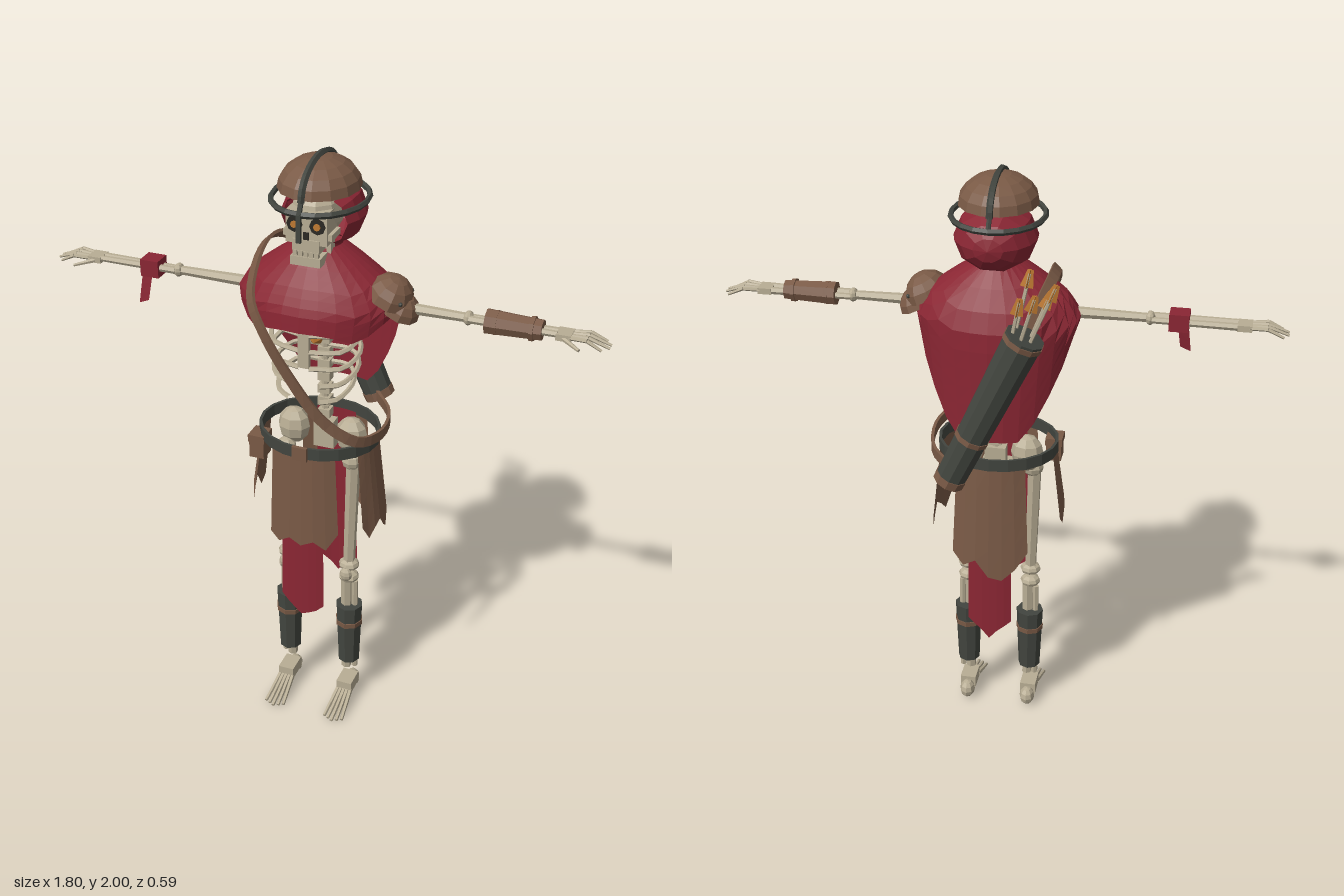
import * as THREE from 'three';

const V = (x, y, z) => new THREE.Vector3(x, y, z);
const mat = (name, color, side = THREE.FrontSide) => new THREE.MeshStandardMaterial({ name, color, side });
const lerp = THREE.MathUtils.lerp;

// linear sampling of a short list
const sample = (list, t) => {
  const f = Math.min(Math.max(t, 0), 1) * (list.length - 1), i = Math.min(Math.floor(f), list.length - 2);
  return lerp(list[i], list[i + 1], f - i);
};
// piecewise lookup in [key, value] pairs with rising keys
const lookup = (pairs, k) => {
  for (let i = 1; i < pairs.length; i++)
    if (k <= pairs[i][0]) {
      const [a, b] = [pairs[i - 1], pairs[i]];
      return lerp(a[1], b[1], Math.max(0, (k - a[0]) / (b[0] - a[0])));
    }
  return pairs[pairs.length - 1][1];
};
// grid whose points follow fn(u, v)
function sheet(cols, rows, fn) {
  const g = new THREE.PlaneGeometry(1, 1, cols, rows), p = g.attributes.position;
  for (let i = 0; i < p.count; i++) p.setXYZ(i, ...fn(p.getX(i) + 0.5, 0.5 - p.getY(i)));
  return g;
}
const box = (w, h, d) => new THREE.BoxGeometry(w, h, d);
const ball = (rx, ry, rz, seg = 8) => new THREE.SphereGeometry(1, seg, Math.max(5, seg - 2)).scale(rx, ry, rz);
const tube = (pts, r, n = 10, sides = 5) => new THREE.TubeGeometry(new THREE.CatmullRomCurve3(pts), n, r, sides);
// tapered rod from a to b
function rod(a, b, r0, r1 = r0, sides = 6) {
  const d = b.clone().sub(a), g = new THREE.CylinderGeometry(r1, r0, d.length(), sides);
  g.applyQuaternion(new THREE.Quaternion().setFromUnitVectors(V(0, 1, 0), d.normalize()));
  const m = a.clone().add(b).multiplyScalar(0.5);
  return g.translate(m.x, m.y, m.z);
}

export function createModel() {
  const model = new THREE.Group();
  model.name = 'skeletonArcher';
  const bone = mat('bone', 0xb8ad94), red = mat('redCloth', 0x8a2633, THREE.DoubleSide);
  const brown = mat('brownLeather', 0x7a5a46, THREE.DoubleSide), dark = mat('darkLeather', 0x42453f, THREE.DoubleSide);
  const orange = mat('orange', 0xc07a32), black = mat('socketDark', 0x2b2824);

  function add(name, geo, material, x = 0, y = 0, z = 0, parent = model) {
    const g = geo.index ? geo.toNonIndexed() : geo;
    g.computeVertexNormals();
    const m = new THREE.Mesh(g, material);
    m.name = name;
    m.position.set(x, y, z);
    parent.add(m);
    return m;
  }

  // skull
  add('cranium', ball(0.08, 0.085, 0.1, 10), bone, 0, 1.83, 0.07);
  add('face', box(0.13, 0.1, 0.08), bone, 0, 1.8, 0.135);
  add('upperJaw', box(0.085, 0.04, 0.06), bone, 0, 1.745, 0.15);
  add('lowerJaw', box(0.095, 0.028, 0.1), bone, 0, 1.698, 0.135);
  for (let i = -2; i <= 2; i++) add('tooth', box(0.013, 0.024, 0.012), bone, i * 0.017, 1.718, 0.176);
  add('noseHole', box(0.018, 0.026, 0.006), black, 0, 1.775, 0.176);
  for (const s of [-1, 1]) {
    const disc = r => new THREE.CylinderGeometry(r, r, 0.006, 8).rotateX(Math.PI / 2);
    add('eyeSocket', disc(0.025), black, s * 0.036, 1.81, 0.176);
    add('eyeGlow', disc(0.011), orange, s * 0.036, 1.81, 0.181);
    add('cheekbone', box(0.03, 0.02, 0.07), bone, s * 0.062, 1.775, 0.13);
    add('jawSide', box(0.014, 0.065, 0.035), bone, s * 0.05, 1.73, 0.105);
  }

  // hood
  add('hood', new THREE.SphereGeometry(1, 10, 6, 0, Math.PI * 2, 0, Math.PI * 0.7)
    .rotateX(-Math.PI / 2).scale(0.13, 0.104, 0.145), red, 0, 1.803, 0.025);

  // helmet
  add('helmetDome', new THREE.SphereGeometry(1, 14, 5, 0, Math.PI * 2, 0, Math.PI / 2)
    .scale(0.125, 0.092, 0.142), brown, 0, 1.895, 0.065);
  const crest = Array.from({ length: 13 }, (_, i) => {
    const a = Math.PI * i / 12;
    return V(0, 1.892 + Math.sin(a) * 0.097, 0.065 + Math.cos(a) * 0.148);
  });
  add('helmetCrest', tube(crest, 0.011, 20), dark);
  add('helmetRing', new THREE.TorusGeometry(1, 0.06, 5, 20).rotateX(Math.PI / 2).scale(0.145, 0.17, 0.165), dark, 0, 1.86, 0.06);
  add('frontStrut', rod(V(0, 1.9, 0.21), V(0, 1.86, 0.23), 0.008), dark);
  add('backStrut', rod(V(0, 1.9, -0.082), V(0, 1.86, -0.105), 0.008), dark);
  add('noseGuard', box(0.014, 0.085, 0.01), dark, 0, 1.82, 0.233);

  // mantle with a long back panel
  const hem = [[0, 1.49], [20, 1.49], [42, 1.46], [72, 1.53], [98, 1.53], [110, 1.44], [150, 1.17], [180, 1.17]];
  const wide = [[1.17, 0.22], [1.48, 0.25], [1.55, 0.262], [1.61, 0.225], [1.67, 0.145], [1.72, 0.07]];
  const deep = [[1.17, 0.19], [1.48, 0.185], [1.55, 0.18], [1.61, 0.15], [1.67, 0.11], [1.72, 0.07]];
  add('mantle', sheet(28, 9, (u, v) => {
    const a = (u * 2 - 1) * Math.PI, y = lerp(1.72, lookup(hem, Math.abs(a) * 180 / Math.PI), v);
    return [Math.sin(a) * lookup(wide, y), y, 0.06 + Math.cos(a) * lookup(deep, y)];
  }), red);

  // spine, ribs and glowing core
  add('spineCore', rod(V(0, 1.02, 0.02), V(0, 1.72, 0.03), 0.012), bone);
  for (let i = 0; i < 15; i++) add('vertebra', box(0.04, 0.03, 0.038), bone, 0, 1.06 + i * 0.045, 0.02);
  add('sternum', box(0.036, 0.17, 0.016), bone, 0, 1.44, 0.2);
  for (const s of [-1, 1]) {
    for (let i = 0; i < 6; i++) {
      const y = 1.57 - i * 0.056, w = [0.115, 0.135, 0.142, 0.142, 0.135, 0.12][i];
      const end = i < 4 ? 0.015 : 0.05;
      add('rib', tube([V(0, y, 0.015), V(s * w * 0.7, y - 0.002, 0.02), V(s * w, y - 0.02, 0.09),
        V(s * w * 0.8, y - 0.045, 0.17), V(s * end, y - 0.05, 0.2)], 0.0085, 12), bone);
    }
    add('collarbone', rod(V(s * 0.02, 1.58, 0.17), V(s * 0.2, 1.59, 0.08), 0.012), bone);
    add('shoulderBlade', box(0.09, 0.11, 0.014), bone, s * 0.11, 1.53, -0.02);
  }
  add('glowingCore', new THREE.IcosahedronGeometry(0.028), orange, 0, 1.415, 0.1);

  // pelvis
  add('sacrum', box(0.07, 0.1, 0.04), bone, 0, 1.03, 0.02);
  add('pubicBone', box(0.12, 0.03, 0.03), bone, 0, 0.97, 0.11);
  for (const s of [-1, 1]) {
    add('hipWing', ball(0.055, 0.065, 0.045), bone, s * 0.1, 1.05, 0.045);
    add('hipJoint', ball(0.035, 0.035, 0.035), bone, s * 0.115, 0.98, 0.08);
  }

  // legs and feet
  for (const s of [-1, 1]) {
    const leg = new THREE.Group();
    leg.name = s > 0 ? 'leftLeg' : 'rightLeg';
    leg.position.set(s * 0.11, 0, 0.08);
    model.add(leg);
    const part = (n, g, m, x = 0, y = 0, z = 0) => add(n, g, m, x * s, y, z, leg);
    part('thighBone', rod(V(0, 0.57, 0.005), V(s * 0.01, 0.97, 0), 0.02, 0.024), bone);
    part('thighKnuckle', ball(0.036, 0.022, 0.034), bone, 0, 0.57, 0.005);
    part('kneecap', ball(0.022, 0.026, 0.016), bone, 0, 0.545, 0.035);
    part('shinKnuckle', ball(0.035, 0.022, 0.034), bone, 0, 0.52, 0.005);
    part('shinBone', rod(V(s * -0.008, 0.125, 0), V(s * -0.008, 0.52, 0.005), 0.017, 0.02), bone);
    part('calfBone', rod(V(s * 0.02, 0.13, -0.005), V(s * 0.02, 0.5, 0), 0.011), bone);
    part('greave', new THREE.CylinderGeometry(0.047, 0.038, 0.235, 8), dark, 0, 0.283, 0);
    part('greaveStrap', new THREE.CylinderGeometry(0.048, 0.047, 0.018, 8), brown, 0, 0.33, 0);
    part('ankle', box(0.055, 0.042, 0.075), bone, 0, 0.063, 0.012);
    part('heel', ball(0.027, 0.034, 0.034), bone, 0, 0.042, -0.035);
    for (let i = -2; i <= 2; i++)
      part('toe', rod(V(i * 0.011, 0.052, 0.04), V(i * 0.016, 0.01, 0.172 - Math.abs(i) * 0.008), 0.0085, 0.006, 5), bone);
  }

  // arms and hands
  for (const s of [-1, 1]) {
    const arm = new THREE.Group();
    arm.name = s > 0 ? 'leftArm' : 'rightArm';
    arm.position.set(0, 1.55, 0.075);
    model.add(arm);
    const link = (n, a, b, r0, r1) => add(n, rod(V(a[0] * s, a[1], a[2]), V(b[0] * s, b[1], b[2]), r0, r1), bone, 0, 0, 0, arm);
    add('shoulderJoint', ball(0.03, 0.03, 0.03), bone, s * 0.21, 0, 0, arm);
    link('upperArmBone', [0.21, 0, 0], [0.48, 0, 0], 0.019, 0.014);
    add('elbow', ball(0.016, 0.022, 0.025), bone, s * 0.475, 0, 0, arm);
    link('forearmBone', [0.48, 0.002, 0.013], [0.745, 0.002, 0.014], 0.012, 0.01);
    link('forearmBone', [0.48, -0.002, -0.013], [0.745, -0.002, -0.014], 0.01, 0.012);
    add('palm', box(0.045, 0.02, 0.055), bone, s * 0.765, -0.002, 0, arm);
    for (let i = 0; i < 4; i++) {
      const z = (i - 1.5) * 0.021, z0 = (i - 1.5) * 0.014, tip = [0.885, 0.9, 0.9, 0.88][i];
      link('fingerBase', [0.78, 0, z0], [0.835, 0.004, z], 0.007, 0.006);
      link('fingerTip', [0.835, 0.004, z], [tip, -0.018, z * 1.1], 0.006, 0.004);
    }
    link('thumb', [0.765, -0.005, 0.022], [0.82, -0.014, 0.064], 0.008, 0.005);
  }
  add('armWrap', box(0.062, 0.056, 0.062), red, -0.565, 1.55, 0.075);
  add('wrapTail', sheet(1, 3, (u, v) => [-0.575 - v * 0.012 + (u - 0.5) * 0.034, 1.53 - v * (0.1 - u * 0.014), 0.1 + v * 0.012]), red);
  add('bracer', new THREE.CylinderGeometry(0.032, 0.039, 0.17, 8).rotateZ(-Math.PI / 2), brown, 0.615, 1.55, 0.075);
  for (const x of [0.56, 0.67]) add('bracerStrap', new THREE.CylinderGeometry(0.039, 0.039, 0.012, 8).rotateZ(Math.PI / 2), brown, x, 1.55, 0.075);

  // shoulder guard
  const guard = new THREE.Group();
  guard.name = 'shoulderGuard';
  guard.position.set(0.235, 1.57, 0.075);
  guard.rotation.z = -0.45;
  model.add(guard);
  const cap = (rx, ry, rz) => new THREE.SphereGeometry(1, 10, 4, 0, Math.PI * 2, 0, Math.PI / 2).scale(rx, ry, rz);
  add('upperPlate', cap(0.075, 0.075, 0.085), brown, -0.01, 0, 0, guard);
  add('lowerPlate', cap(0.065, 0.06, 0.07), brown, 0.035, -0.02, 0, guard);
  for (const z of [-0.055, 0, 0.055]) add('rivet', ball(0.007, 0.007, 0.007, 6), dark, 0.035, 0.045 - Math.abs(z) * 0.25, z, guard);

  // belt, buckle and pouch
  const hip = (a, k) => [Math.sin(a) * 0.19 * k, 0.07 + Math.cos(a) * 0.165 * k];
  add('belt', sheet(20, 4, (u, v) => {
    const [x, z] = hip(-u * Math.PI * 2, [1, 1.05, 1.05, 1, 1][Math.round(v * 4)]);
    return [x, [1.05, 1.05, 1.09, 1.09, 1.05][Math.round(v * 4)], z];
  }), dark);
  add('buckle', box(0.05, 0.048, 0.012), brown, 0, 1.07, 0.245);
  add('pouch', box(0.05, 0.075, 0.06), brown, -0.175, 1.02, 0.155);
  add('pouchFlap', box(0.056, 0.025, 0.066), brown, -0.175, 1.052, 0.155);

  // hanging cloth panels around the hips
  const panel = (name, m, mid, half, hemline, k, flare, narrow = 1) => add(name, sheet(6, 4, (u, v) => {
    const [x, z] = hip(mid + (u * 2 - 1) * half * lerp(1, narrow, v), k + flare * v);
    return [x, lerp(1.06, sample(hemline, u), v), z];
  }), m);
  panel('frontSkirt', brown, 0, 0.58, [0.73, 0.71, 0.74, 0.72, 0.74, 0.71, 0.77], 1.02, 0.04, 1.08);
  panel('frontTabard', red, 0, 0.38, [0.5, 0.48, 0.46, 0.44, 0.45, 0.46, 0.48], 0.99, 0.05);
  panel('backSkirt', brown, Math.PI, 0.62, [0.72, 0.68, 0.71, 0.65, 0.64, 0.68, 0.74], 1.02, 0.13);
  panel('backTabard', red, Math.PI, 0.38, [0.46, 0.44, 0.42, 0.39, 0.42, 0.44, 0.46], 0.98, 0.07);
  panel('leftSkirt', brown, 1.42, 0.42, [0.79, 0.74, 0.77, 0.79, 0.75, 0.73, 0.78], 1.02, 0.16);
  panel('rightSkirt', brown, -1.42, 0.4, [0.82, 0.79, 0.84, 0.81, 0.85, 0.8, 0.84], 1.02, 0.16);

  // quiver and arrows
  const top = V(-0.135, 1.59, -0.225), low = V(0.105, 1.07, -0.21);
  const at = t => low.clone().lerp(top, t);
  add('quiver', rod(low, top, 0.05, 0.062, 10), dark);
  add('quiverBase', rod(at(-0.01), at(0.04), 0.052, 0.053, 10), brown);
  add('quiverBand', rod(at(0.3), at(0.33), 0.056, 0.057, 10), brown);
  add('quiverRim', rod(at(0.955), at(0.985), 0.064, 0.065, 10), brown);
  [[-0.03, 0.02, 0.15], [0.03, 0.03, 0.2], [0, -0.035, 0.16], [-0.035, -0.02, 0.2], [0.035, -0.015, 0.13]].forEach(([dx, dz, h]) => {
    const a = at(0.9).add(V(dx * 0.7, 0, dz * 0.7)), d = V(-0.3 + dx * 3, 1, dz * 3).normalize();
    const p = t => a.clone().addScaledVector(d, t);
    add('arrowShaft', rod(a, p(h + 0.04), 0.006, 0.006, 5), bone);
    for (const turn of [0, Math.PI / 2]) {
      const q = new THREE.Quaternion().setFromUnitVectors(V(0, 1, 0), d);
      const g = new THREE.CylinderGeometry(0.009, 0.02, 0.055, 4).scale(1, 1, 0.2).rotateY(turn).applyQuaternion(q);
      const c = p(h + 0.025);
      add('fletching', g, orange, c.x, c.y, c.z);
    }
  });

  // strap across the chest, from quiver top to quiver base
  const path = new THREE.CatmullRomCurve3([V(-0.13, 1.58, -0.17), V(-0.165, 1.66, -0.08), V(-0.18, 1.69, 0.03),
    V(-0.17, 1.66, 0.16), V(-0.15, 1.58, 0.25), V(-0.1, 1.5, 0.285), V(-0.02, 1.36, 0.28), V(0.08, 1.2, 0.245),
    V(0.17, 1.12, 0.19), V(0.212, 1.1, 0.09), V(0.19, 1.09, -0.06), V(0.11, 1.09, -0.17)]);
  add('chestStrap', sheet(4, 40, (u, v) => {
    const p = path.getPoint(v), t = path.getTangent(v), c = Math.round(u * 4) % 4;
    const side = t.clone().cross(V(p.x, Math.max(0, p.y - 1.5), p.z - 0.06)).normalize(), out = side.clone().cross(t);
    return p.addScaledVector(side, c === 0 || c === 3 ? -0.017 : 0.017).addScaledVector(out, c < 2 ? -0.005 : 0.005).toArray();
  }), brown);

  return model;
}
